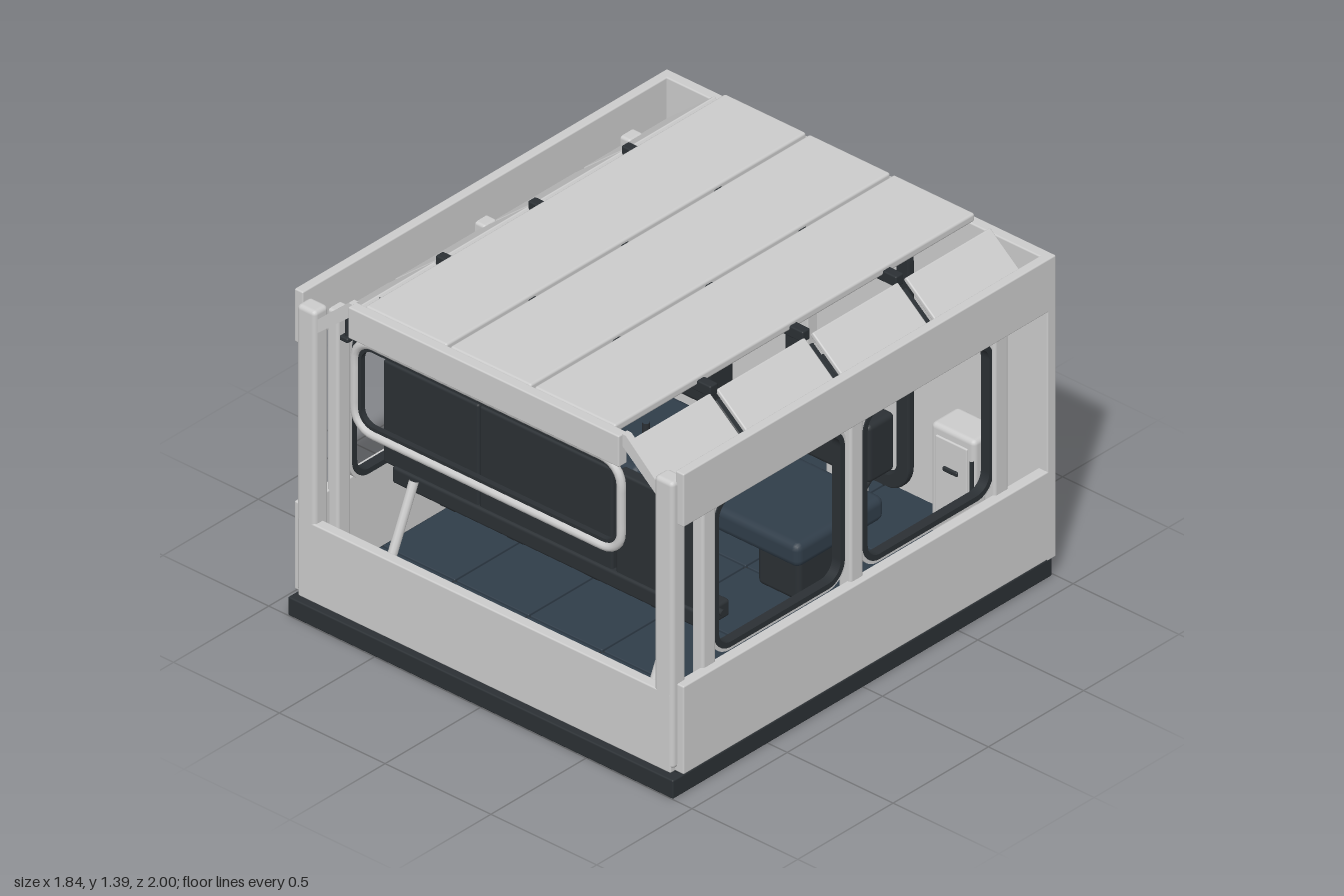
import * as THREE from 'three';
import { RoundedBoxGeometry } from 'three/addons/geometries/RoundedBoxGeometry.js';

export function createModel() {
  const model = new THREE.Group();
  const grey = new THREE.MeshStandardMaterial({ color: 0xcccccc });
  const dark = new THREE.MeshStandardMaterial({ color: 0x2b3034 });
  const blue = new THREE.MeshStandardMaterial({ color: 0x303d49 });

  const add = (name, geometry, material) => {
    const mesh = new THREE.Mesh(geometry, material);
    mesh.name = name;
    model.add(mesh);
    return mesh;
  };
  // Softly rounded box given by its extents
  const box = (name, [x0, x1], [y0, y1], [z0, z1], material = grey, r = 0.006) => {
    const w = x1 - x0, h = y1 - y0, d = z1 - z0;
    const mesh = add(name, new RoundedBoxGeometry(w, h, d, 2, Math.min(r, Math.min(w, h, d) * 0.45)), material);
    mesh.position.set((x0 + x1) / 2, (y0 + y1) / 2, (z0 + z1) / 2);
    return mesh;
  };
  // The same box on the given side, s = 1 or -1
  const sideBox = (name, s, [x0, x1], y, z, material, r) =>
    box(name, s > 0 ? [x0, x1] : [-x1, -x0], y, z, material, r);
  // Round rod between two points
  const rod = (name, a, b, radius, material) => {
    const path = new THREE.LineCurve3(new THREE.Vector3(...a), new THREE.Vector3(...b));
    return add(name, new THREE.TubeGeometry(path, 1, radius, 10), material);
  };
  const roundRect = (w, h, r) => {
    const s = new THREE.Shape(), x = w / 2, y = h / 2;
    s.absarc(x - r, y - r, r, 0, Math.PI / 2);
    s.absarc(-x + r, y - r, r, Math.PI / 2, Math.PI);
    s.absarc(-x + r, -y + r, r, Math.PI, Math.PI * 1.5);
    s.absarc(x - r, -y + r, r, Math.PI * 1.5, Math.PI * 2);
    s.closePath();
    return s;
  };
  // Flat rounded ring, centred on its own depth
  const ring = (w, h, r, t, depth) => {
    const s = roundRect(w, h, r);
    s.holes.push(roundRect(w - 2 * t, h - 2 * t, r - t));
    return new THREE.ExtrudeGeometry(s, { depth, bevelEnabled: false, curveSegments: 8 }).translate(0, 0, -depth / 2);
  };

  // Base and tiled floor
  box('base', [-0.91, 0.91], [0, 0.077], [-0.99, 1], dark);
  box('underfloor', [-0.89, 0.89], [0.075, 0.09], [-0.97, 0.95], dark);
  for (let i = 0; i < 5; i++) for (let j = 0; j < 5; j++) {
    const x = -0.87 + i * 0.348, z = -0.95 + j * 0.376;
    box('floorTile', [x + 0.004, x + 0.344], [0.085, 0.1], [z + 0.004, z + 0.372], blue, 0.004);
  }

  // End walls
  box('backWall', [-0.92, 0.92], [0.08, 1.33], [-1, -0.955]);
  box('frontWall', [-0.88, 0.88], [0.085, 0.41], [0.935, 0.98]);

  // Rear door: dark arched frame, panel and handle
  const arch = roundRect(0.57, 1.07, 0.11);
  arch.holes.push(roundRect(0.48, 0.98, 0.07));
  add('doorFrame', new THREE.ExtrudeGeometry(arch, {
    depth: 0.016, bevelSize: 0.008, bevelThickness: 0.008, bevelSegments: 2, curveSegments: 8,
  }), dark).position.set(0, 0.635, -0.946);
  box('doorPanel', [-0.25, 0.25], [0.14, 1.13], [-0.958, -0.945]);
  box('doorHandle', [-0.2, -0.16], [0.54, 0.79], [-0.945, -0.895]);

  // Side walls, posts, windows and sloped roof edges, mirrored
  for (const s of [1, -1]) {
    sideBox('sideWall', s, [0.875, 0.92], [0.085, 0.45], [-0.98, 0.955]);
    sideBox('sideHeader', s, [0.88, 0.92], [1.11, 1.33], [-0.99, 0.955]);
    sideBox('cornerPost', s, [0.8, 0.89], [0.1, 1.29], [0.905, 0.98], grey, 0.018);
    sideBox('frontPost', s, [0.835, 0.89], [0.1, 1.2], [0.75, 0.82], grey, 0.012);
    sideBox('middlePost', s, [0.835, 0.895], [0.1, 1.2], [-0.018, 0.05], grey, 0.012);
    sideBox('rearPost', s, [0.835, 0.89], [0.1, 1.2], [-0.785, -0.712], grey, 0.012);

    for (const z of [0.4, -0.38]) {
      const trim = add('windowTrim', ring(0.71, 0.67, 0.1, 0.014, 0.03), grey);
      const seal = add('windowSeal', ring(0.682, 0.642, 0.086, 0.022, 0.04), dark);
      for (const m of [trim, seal]) {
        m.rotation.y = Math.PI / 2;
        m.position.set(s * 0.855, 0.78, z);
      }
    }

    // Sloped panels between roof and header
    const slope = Math.atan2(0.19, 0.23);
    for (const [z0, z1] of [[-0.955, -0.51], [-0.47, -0.02], [0.02, 0.48], [0.515, 0.945]]) {
      const panel = box('slopedPanel', [-0.147, 0.147], [-0.01, 0.01], [z0, z1]);
      panel.position.x = s * 0.757;
      panel.position.y = 1.25;
      panel.rotation.z = -s * slope;
      const zc = (z0 + z1) / 2;
      box('panelGrip', s > 0 ? [0.79, 0.83] : [-0.83, -0.79], [1.09, 1.11], [zc - 0.09, zc + 0.09], dark);
      for (const dz of [-0.07, 0.07])
        rod('gripStem', [s * 0.81, 1.1, zc + dz], [s * 0.81, 1.205, zc + dz], 0.007, dark);
    }
    for (const z of [-0.49, 0, 0.49]) {
      const rib = box('slopedRib', [-0.14, 0.14], [-0.015, 0.015], [z - 0.013, z + 0.013], dark);
      rib.position.x = s * 0.76;
      rib.position.y = 1.22;
      rib.rotation.z = -s * slope;
    }

    // Front gusset joining roof beam and corner post
    const g = new THREE.Shape([[0.635, 1.385], [0.655, 1.385], [0.84, 1.22], [0.84, 1.17], [0.8, 1.2], [0.635, 1.34]]
      .map(([x, y]) => new THREE.Vector2(s * x, y)));
    add('gusset', new THREE.ExtrudeGeometry(g, { depth: 0.03, bevelEnabled: false }), grey).position.z = 0.935;

    // Console supports
    rod('consoleLeg', [s * 0.62, 0.1, 0.85], [s * 0.62, 0.52, 0.66], 0.018, grey);
    rod('windscreenStrut', [s * 0.62, 0.93, 0.6], [s * 0.62, 1.06, 0.67], 0.014, dark);
    rod('windscreenStrut', [s * 0.62, 1.06, 0.67], [s * 0.62, 1.25, 0.82], 0.014, dark);
    rod('strutMount', [s * 0.62, 1.25, 0.82], [s * 0.62, 1.36, 0.82], 0.014, dark);

    // Storage box against the back wall
    sideBox('storageBox', s, [0.58, 0.79], [0.1, 0.63], [-0.86, -0.715], grey, 0.02);
    sideBox('storageDoor', s, [0.61, 0.76], [0.15, 0.59], [-0.72, -0.708]);
    sideBox('storageHandle', s, [0.65, 0.72], [0.46, 0.48], [-0.715, -0.7], dark);
    rod('storageLever', [s * 0.8, 0.42, -0.69], [s * 0.8, 0.57, -0.69], 0.008, dark);

    // Seat
    const cx = s * 0.38;
    box('seatPedestal', [cx - 0.1, cx + 0.1], [0.1, 0.36], [-0.36, -0.14], dark, 0.02);
    box('seatCushion', [cx - 0.22, cx + 0.22], [0.35, 0.45], [-0.46, 0], blue, 0.03);
    box('seatBack', [cx - 0.24, cx + 0.24], [0.55, 0.79], [-0.49, -0.35], dark, 0.02);
    box('seatFrame', [cx - 0.09, cx + 0.09], [0.36, 0.78], [-0.525, -0.485], grey, 0.015);
    box('headrest', [cx - 0.12, cx + 0.12], [0.77, 0.885], [-0.51, -0.435], dark, 0.02);
    for (const dx of [-0.2, 0.2])
      rod('seatBrace', [cx + dx, 0.43, -0.26], [cx + dx, 0.57, -0.43], 0.014, dark);
  }

  // Roof: three long panels over cross ribs
  for (const [x0, x1] of [[-0.595, -0.21], [-0.195, 0.188], [0.203, 0.587]])
    box('roofPanel', [x0, x1], [1.355, 1.39], [-0.945, 0.945], grey, 0.01);
  for (const z of [-0.48, 0.01, 0.495])
    box('roofRib', [-0.65, 0.65], [1.33, 1.375], [z - 0.02, z + 0.02], dark);
  for (const x of [-0.2, 0.195])
    box('roofRail', [x - 0.03, x + 0.03], [1.325, 1.352], [-0.95, 0.945], dark);
  box('roofFrontBeam', [-0.64, 0.64], [1.255, 1.385], [0.94, 0.985]);

  // Windscreen: round tube frame with a dark inner seal
  const outline = roundRect(1.26, 0.37, 0.085).getSpacedPoints(96).slice(0, -1)
    .map(p => new THREE.Vector3(p.x, p.y, 0));
  add('windscreenFrame', new THREE.TubeGeometry(new THREE.CatmullRomCurve3(outline, true), 128, 0.017, 10, true), grey)
    .position.set(0, 1.067, 0.96);
  add('windscreenSeal', ring(1.24, 0.35, 0.075, 0.02, 0.022), dark).position.set(0, 1.067, 0.95);

  // Console: three upright panels on a long shelf
  for (const [x0, x1] of [[-0.79, -0.338], [-0.335, 0.295], [0.31, 0.7]])
    box('consolePanel', [x0, x1], [0.515, 0.94], [0.583, 0.635], dark, 0.01);
  box('consoleShelf', [-0.74, 0.73], [0.455, 0.525], [0.5, 0.645], dark, 0.012);
  const knob = add('consoleKnob', new THREE.CylinderGeometry(0.012, 0.012, 0.04, 12), dark);
  knob.rotation.z = Math.PI / 2;
  knob.position.set(0.74, 0.51, 0.57);
  for (const x of [-0.5, -0.18, 0.18, 0.5])
    box('shelfBracket', [x - 0.04, x + 0.04], [0.435, 0.46], [0.52, 0.62], dark);

  return model;
}
